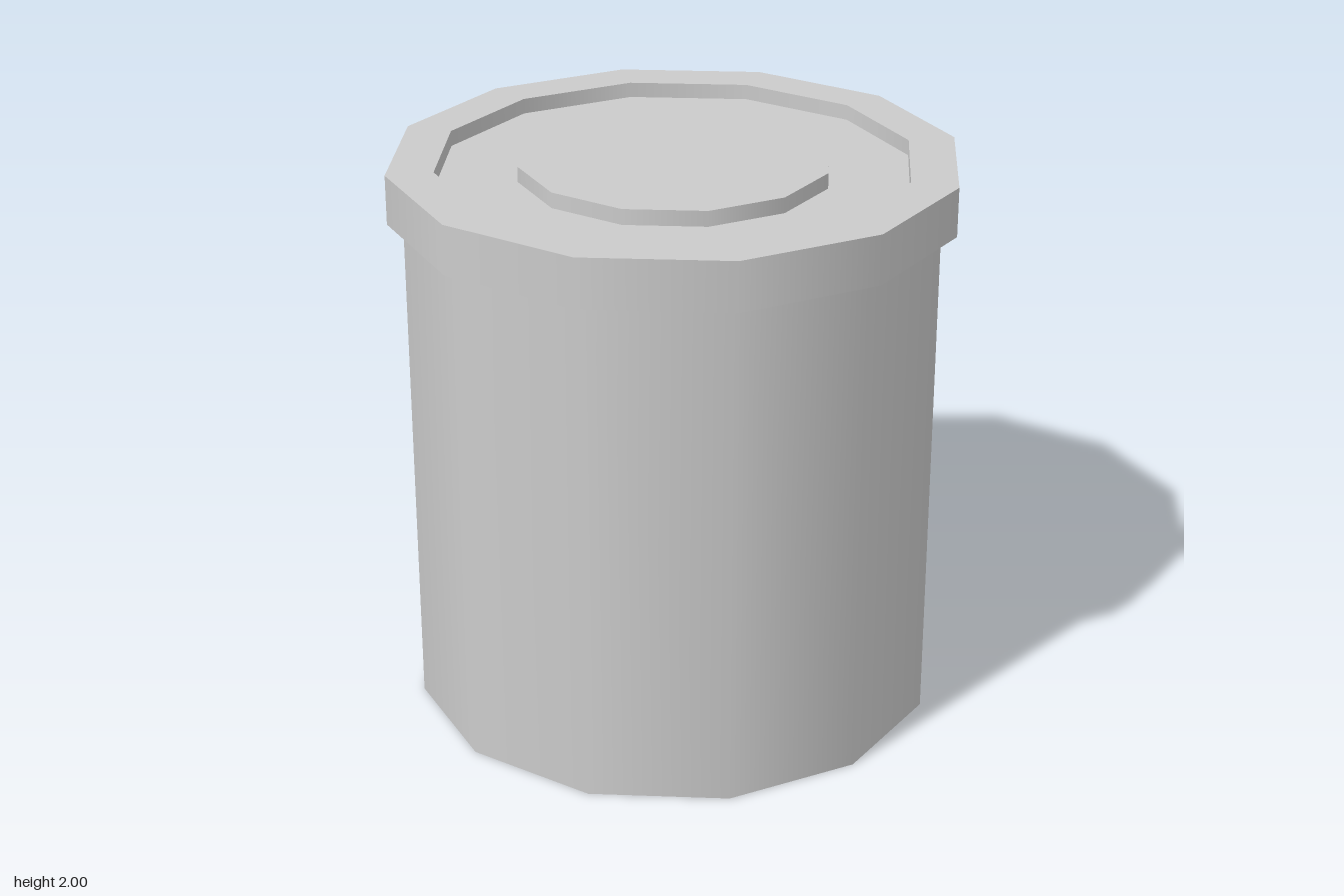
import * as THREE from 'three';
import { mergeGeometries } from 'three/addons/utils/BufferGeometryUtils.js';

const SIDES = 12;
const material = new THREE.MeshStandardMaterial({ color: 0xcccccc });

// Turns a [radius, height] profile: smooth around the axis, sharp at every profile corner.
function turned(name, profile) {
  const bands = [];
  for (let i = 0; i < profile.length - 1; i++) {
    const pair = [profile[i], profile[i + 1]].map(([r, y]) => new THREE.Vector2(r, y));
    bands.push(new THREE.LatheGeometry(pair, SIDES));
  }
  const mesh = new THREE.Mesh(mergeGeometries(bands), material);
  mesh.name = name;
  return mesh;
}

export function createModel() {
  const group = new THREE.Group();
  group.name = 'canister';

  const bodyR = 0.94, rimR = 0.995, innerR = 0.83, discR = 0.545;
  const rimBottom = 1.825, floor = 1.945, top = 2;

  group.add(
    // Straight body with a closed base
    turned('body', [[0, 0], [bodyR, 0], [bodyR, rimBottom]]),
    // Overhanging rim, down to the recess inside it
    turned('rim', [[bodyR, rimBottom], [rimR, rimBottom], [rimR, top], [innerR, top], [innerR, floor]]),
    // Sunken ring between the rim and the centre
    turned('recessFloor', [[innerR, floor], [discR, floor]]),
    // Raised disc in the centre of the lid
    turned('centreDisc', [[discR, floor], [discR, top], [0, top]])
  );
  return group;
}
